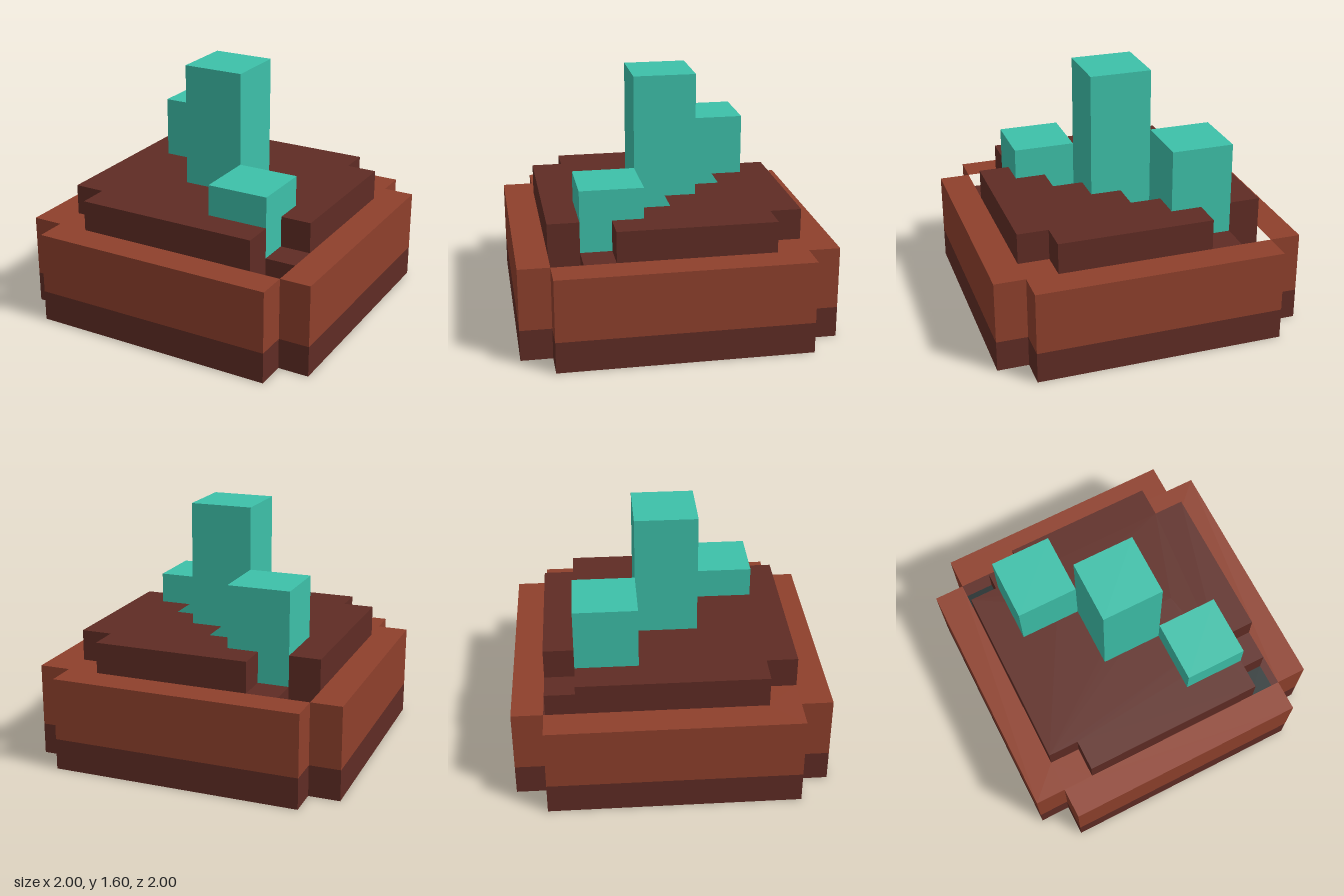
import * as THREE from 'three';

const mat = (name, color) => {
  const m = new THREE.MeshStandardMaterial({ color });
  m.name = name;
  return m;
};

export function createModel() {
  const group = new THREE.Group();
  const clay = mat('clay', 0x8e402c);
  const soil = mat('dark soil', 0x5f2c24);
  const teal = mat('teal crystal', 0x3dc0a9);
  const shadowStone = mat('dark stone', 0x222e2e);

  const add = (name, geometry, material) => {
    const mesh = new THREE.Mesh(geometry, material);
    mesh.name = name;
    group.add(mesh);
  };
  const vecs = (pts) => pts.map(([x, z]) => new THREE.Vector2(x, -z));

  // Upright slab from an [x, z] outline, between two heights
  const slab = (name, outline, y0, y1, material, holes = []) => {
    const shape = new THREE.Shape(vecs(outline));
    holes.forEach((h) => shape.holes.push(new THREE.Path(vecs(h))));
    const geo = new THREE.ExtrudeGeometry(shape, { depth: y1 - y0, bevelEnabled: false });
    geo.rotateX(-Math.PI / 2).translate(0, y0, 0);
    add(name, geo, material);
  };
  const block = (name, x, z, w, y0, y1, material) =>
    add(name, new THREE.BoxGeometry(w, y1 - y0, w).translate(x, (y0 + y1) / 2, z), material);

  // Square outline with stepped corners
  const stepped = (a, b) => [
    [-b, -a], [b, -a], [b, -b], [a, -b], [a, b], [b, b],
    [b, a], [-b, a], [-b, b], [-a, b], [-a, -b], [-b, -b],
  ];

  // Pot: dark foot and clay wall, the wall opening out at two opposite corners
  const opening = [
    [-0.8, -0.8], [0.6, -0.8], [0.6, -0.6], [0.8, -0.6], [0.8, 0.8],
    [-0.6, 0.8], [-0.6, 0.6], [-0.8, 0.6],
  ];
  slab('potFoot', stepped(1, 0.8), 0, 0.2, soil);
  slab('potWall', stepped(1, 0.8), 0.2, 0.6, clay, [opening]);

  // Soil filling the pot, and dark floors in the two corner wells
  slab('soilCore', stepped(0.8, 0.6), 0.2, 0.6, soil);
  for (const s of [-1, 1]) block('wellFloor', 0.7 * s, 0.7 * s, 0.2, 0.2, 0.4, shadowStone);

  // Raised soil with edge notches and two small pits beside the crystals
  const mound = [
    [-0.4, -0.8], [0.6, -0.8], [0.6, -0.6], [0.8, -0.6], [0.8, 0.4], [0.6, 0.4],
    [0.5, 0.5], [0.6, 0.6], [0.6, 0.8], [-0.6, 0.8], [-0.6, 0.6], [-0.8, 0.6],
    [-0.8, -0.6], [-0.6, -0.6], [-0.5, -0.5], [-0.4, -0.6],
  ];
  const pits = [
    [[-0.3, -0.3], [-0.3, -0.4], [0, -0.4], [0, 0]],
    [[0.1, 0.1], [0.1, 0], [0.4, 0], [0.4, 0.4]],
  ];
  slab('soilMound', mound, 0.6, 0.8, soil, pits);

  // Diagonal row of crystals
  [[-0.4, 1.2], [0, 1.6], [0.4, 1.0]].forEach(([p, top]) =>
    block('crystal', p, p, 0.4, 0.6, top, teal));

  return group;
}
